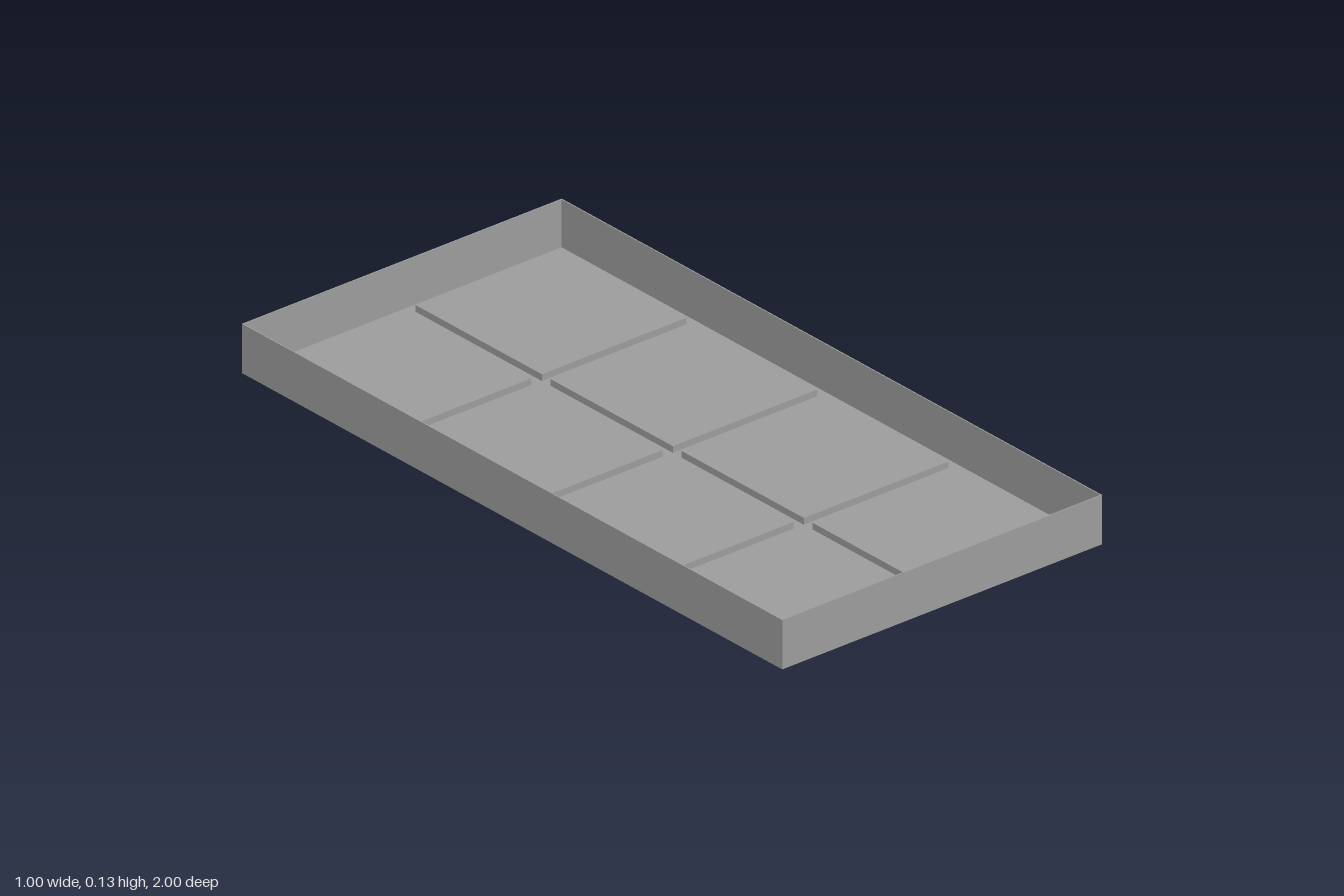
import * as THREE from 'three';

const W = 1, L = 2, H = 0.133;   // overall size
const RIM = 0.032;               // width of the border and the grooves
const FLOOR = 0.004;             // thickness of the groove lattice
const RAISE = 0.022;             // height of the raised panels
const WALL = 0.003;              // sheet thickness of the walls
const GROOVES_X = [0];           // groove centres across the width
const GROOVES_Z = [-0.485, 0, 0.485]; // and along the length

const material = new THREE.MeshStandardMaterial({ color: 0x9c9c9c, flatShading: true, side: THREE.DoubleSide });

function add(parent, geometry, name, x = 0, y = 0, z = 0) {
  const mesh = new THREE.Mesh(geometry, material);
  mesh.name = name;
  mesh.position.set(x, y, z);
  parent.add(mesh);
}

function rectangle(PathType, x, y, w, h) {
  return new PathType([
    new THREE.Vector2(x - w / 2, y - h / 2), new THREE.Vector2(x + w / 2, y - h / 2),
    new THREE.Vector2(x + w / 2, y + h / 2), new THREE.Vector2(x - w / 2, y + h / 2),
  ]);
}

// Centre and size of each panel between the border and the grooves
function spans(size, grooves) {
  const edges = [-(size - RIM) / 2, ...grooves, (size - RIM) / 2];
  return edges.slice(1).map((end, i) => ({ centre: (edges[i] + end) / 2, size: end - edges[i] - RIM }));
}

// Box without its underside, so that the panel is hollow from below
function openBox(w, h, d) {
  const g = new THREE.BoxGeometry(w, h, d);
  const index = Array.from(g.index.array);
  index.splice(18, 6);
  g.setIndex(index);
  g.clearGroups();
  return g;
}

export function createModel() {
  const tray = new THREE.Group();
  tray.name = 'tray';

  // Raised panels, each with a matching hole in the lattice
  const floor = rectangle(THREE.Shape, 0, 0, W, L);
  const panels = new THREE.Group();
  panels.name = 'raisedPanels';
  for (const sx of spans(W, GROOVES_X)) {
    for (const sz of spans(L, GROOVES_Z)) {
      floor.holes.push(rectangle(THREE.Path, sx.centre, -sz.centre, sx.size, sz.size));
      add(panels, openBox(sx.size, RAISE, sz.size), 'panel', sx.centre, RAISE / 2, sz.centre);
    }
  }
  tray.add(panels);

  // Border and grooves between the panels
  const lattice = new THREE.ExtrudeGeometry(floor, { depth: FLOOR, bevelEnabled: false });
  lattice.rotateX(-Math.PI / 2);
  add(tray, lattice, 'floorLattice');

  // Thin upright walls
  const wallH = H - FLOOR, wallY = FLOOR + wallH / 2;
  for (const s of [-1, 1]) {
    add(tray, new THREE.BoxGeometry(WALL, wallH, L), s > 0 ? 'leftWall' : 'rightWall', s * (W - WALL) / 2, wallY, 0);
    add(tray, new THREE.BoxGeometry(W - 2 * WALL, wallH, WALL), s > 0 ? 'frontWall' : 'backWall', 0, wallY, s * (L - WALL) / 2);
  }
  return tray;
}
